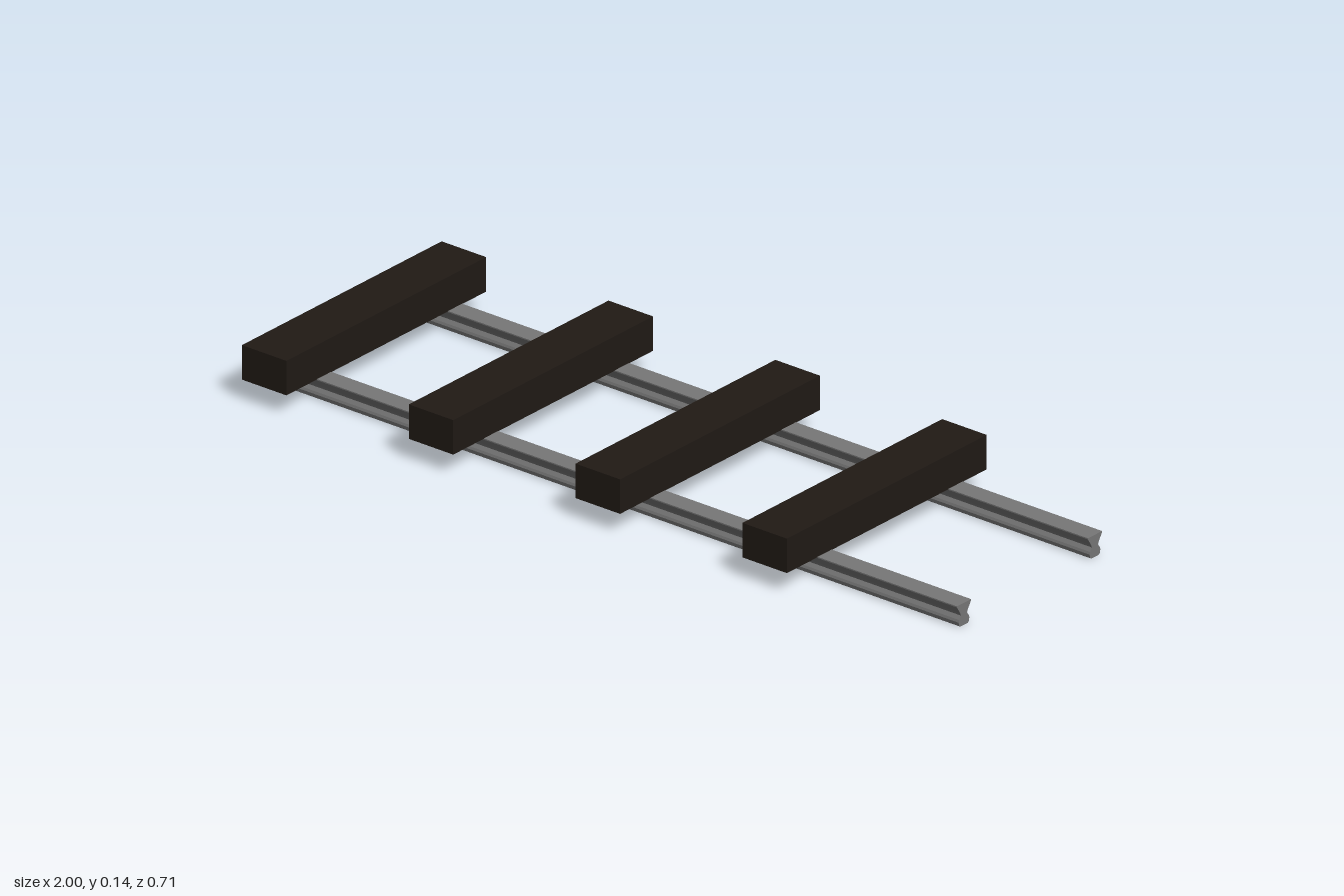
import * as THREE from 'three';

const steel = new THREE.MeshStandardMaterial({ color: 0x777777, flatShading: true });
const darkSteel = new THREE.MeshStandardMaterial({ color: 0x444444, flatShading: true });
const timber = new THREE.MeshStandardMaterial({ color: 0x201a15, flatShading: true });

const TIE_BOTTOM = 0.054, TIE_TOP = 0.14, TIE_WIDTH = 0.13;

// Extrudes a closed (z, y) outline along x, centred on x = 0
function extrudeAlongX(points, length) {
  const shape = new THREE.Shape(points.map(([z, y]) => new THREE.Vector2(-z, y)));
  const geometry = new THREE.ExtrudeGeometry(shape, { depth: length, bevelEnabled: false });
  return geometry.translate(0, 0, -length / 2).rotateY(Math.PI / 2);
}

function addMesh(group, name, geometry, material, x, y, z) {
  const mesh = new THREE.Mesh(geometry, material);
  mesh.name = name;
  mesh.position.set(x, y, z);
  group.add(mesh);
  return mesh;
}

export function createModel() {
  const group = new THREE.Group();
  group.name = 'trackSection';

  // Rail section: flared foot against the ties, narrow web, rounded head below
  const half = [
    [0.013, 0], [0.017, 0.003], [0.019, 0.012], [0.017, 0.018],
    [0.011, 0.027], [0.013, 0.033], [0.025, 0.052], [0.025, TIE_BOTTOM + 0.001],
  ];
  const outline = [...half, ...half.map(([z, y]) => [-z, y]).reverse()];
  const railGeometry = extrudeAlongX(outline, 2);

  // Spike head: small wedge gripping the inner edge of the rail foot
  const clipGeometry = extrudeAlongX(
    [[0.025, 0.056], [0.022, 0.042], [0.033, 0.042], [0.045, 0.053], [0.045, 0.056]], 0.06);

  const tieGeometry = new THREE.BoxGeometry(TIE_WIDTH, TIE_TOP - TIE_BOTTOM, 0.706);
  const tieXs = [0, 1, 2, 3].map((i) => -0.935 + i * 0.4875);

  for (const x of tieXs) {
    addMesh(group, 'tie', tieGeometry, timber, x, (TIE_TOP + TIE_BOTTOM) / 2, 0);
  }

  for (const railZ of [0.22, -0.243]) {
    addMesh(group, 'rail', railGeometry, steel, 0, 0, railZ);
    for (const x of tieXs) {
      const clip = addMesh(group, 'railSpike', clipGeometry, darkSteel, x, 0, railZ);
      if (railZ > 0) clip.rotation.y = Math.PI;
    }
  }
  return group;
}
